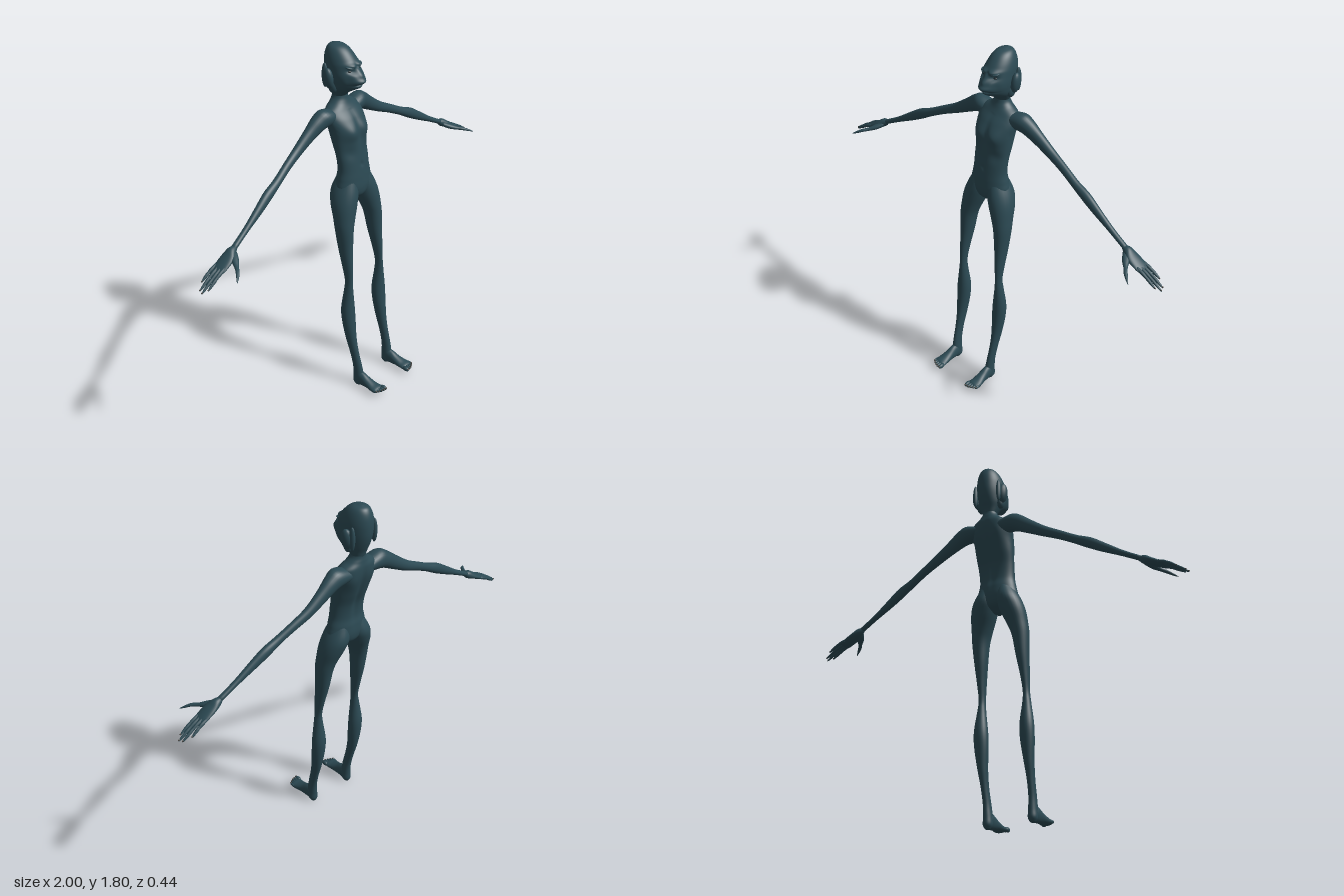
import * as THREE from 'three';

const skin = new THREE.MeshStandardMaterial({ color: 0x2c4a54 });
skin.name = 'blue grey skin';
const dark = new THREE.MeshStandardMaterial({ color: 0x182529 });
dark.name = 'dark eye';
const horn = new THREE.MeshStandardMaterial({ color: 0x4a4540 });
horn.name = 'horn nail';

const X = [1, 0, 0], Y = [0, 1, 0], Z = [0, 0, 1];

// Smooth loft through elliptical sections [x, y, z, radiusU, radiusV]
function loft(rows, u, v, { seg = 28, sub = 5, deform = null } = {}) {
  const U = new THREE.Vector3(...u).normalize(), V = new THREE.Vector3(...v).normalize();
  const curve = (f) => new THREE.CatmullRomCurve3(rows.map(f), false, 'catmullrom', 0.5);
  const mid = curve((r) => new THREE.Vector3(r[0], r[1], r[2]));
  const rad = curve((r) => new THREE.Vector3(r[3], r[4], 0));
  const n = (rows.length - 1) * sub, pos = [], idx = [];
  const add = (p) => { if (deform) deform(p); pos.push(p.x, p.y, p.z); };
  for (let i = 0; i <= n; i++) {
    const c = mid.getPoint(i / n), r = rad.getPoint(i / n);
    for (let j = 0; j < seg; j++) {
      const t = (j / seg) * Math.PI * 2;
      add(c.clone().addScaledVector(U, Math.cos(t) * r.x).addScaledVector(V, Math.sin(t) * r.y));
    }
  }
  add(mid.getPoint(0));
  add(mid.getPoint(1));
  // Keep faces outward whichever way the sections run
  const along = mid.getPoint(1).sub(mid.getPoint(0));
  const flip = U.clone().cross(V).dot(along) < 0;
  const tri = (a, b, c) => (flip ? idx.push(a, c, b) : idx.push(a, b, c));
  for (let j = 0; j < seg; j++) {
    const k = (j + 1) % seg, end = n * seg;
    for (let i = 0; i < n; i++) {
      const a = i * seg + j, b = i * seg + k;
      tri(a, b, b + seg);
      tri(a, b + seg, a + seg);
    }
    tri(end + seg, k, j);
    tri(end + seg + 1, end + j, end + k);
  }
  const g = new THREE.BufferGeometry();
  g.setAttribute('position', new THREE.Float32BufferAttribute(pos, 3));
  g.setIndex(idx);
  g.computeVertexNormals();
  return g;
}

// Soft bumps [x, y, width, height, push in z], mirrored across x
const bumps = (list, accept) => (p) => {
  if (!accept(p.z)) return;
  const ax = Math.abs(p.x);
  let dz = 0;
  for (const [x, y, w, h, d] of list) dz += d * Math.exp(-(((ax - x) / w) ** 2) - ((p.y - y) / h) ** 2);
  p.z += dz;
};

export function createModel() {
  const model = new THREE.Group();
  const part = (name, geo, mat = skin, parent = model) => {
    const m = new THREE.Mesh(geo, mat);
    m.name = name;
    parent.add(m);
    return m;
  };
  const blob = (name, p, s, mat, parent) => {
    const m = part(name, new THREE.SphereGeometry(1, 20, 14), mat, parent);
    m.position.set(...p);
    m.scale.set(...s);
    return m;
  };

  // Torso with chest, belly and spine relief
  const chest = bumps([[0.05, 1.39, 0.035, 0.04, 0.012], [0, 1.4, 0.014, 0.07, -0.006],
    [0, 1.22, 0.008, 0.012, -0.006], [0.06, 1.29, 0.03, 0.03, -0.006]], (z) => z > -0.08);
  const back = bumps([[0, 1.32, 0.016, 0.14, 0.01], [0.06, 1.42, 0.03, 0.05, -0.008]], (z) => z < -0.12);
  part('torso', loft([
    [0, 1.03, -0.06, 0.012, 0.02], [0, 1.06, -0.065, 0.07, 0.055], [0, 1.1, -0.067, 0.108, 0.066],
    [0, 1.15, -0.068, 0.102, 0.064], [0, 1.2, -0.068, 0.093, 0.058], [0, 1.27, -0.077, 0.095, 0.058],
    [0, 1.34, -0.092, 0.1, 0.068], [0, 1.4, -0.103, 0.103, 0.075], [0, 1.45, -0.12, 0.108, 0.069],
    [0, 1.49, -0.137, 0.098, 0.054], [0, 1.52, -0.143, 0.056, 0.043], [0, 1.55, -0.145, 0.036, 0.036],
    [0, 1.61, -0.15, 0.034, 0.035],
  ], X, Z, { seg: 64, sub: 8, deform: (p) => { chest(p); back(p); } }));

  // Head: rows of height, half width, front z, back z
  const face = bumps([[0.032, 1.693, 0.017, 0.011, -0.014], [0.026, 1.718, 0.024, 0.009, 0.01],
    [0, 1.675, 0.013, 0.016, 0.008], [0, 1.712, 0.01, 0.01, -0.006], [0, 1.645, 0.035, 0.013, 0.014],
    [0, 1.627, 0.035, 0.004, -0.012], [0, 1.61, 0.03, 0.01, 0.009], [0.05, 1.65, 0.012, 0.03, -0.008],
  ], (z) => z > -0.12);
  const skull = [[1.545, 0.034, -0.115, -0.18], [1.57, 0.046, -0.09, -0.187], [1.6, 0.06, -0.045, -0.2],
    [1.63, 0.067, -0.015, -0.211], [1.66, 0.07, -0.012, -0.218], [1.69, 0.069, -0.028, -0.221],
    [1.72, 0.066, -0.047, -0.221], [1.75, 0.058, -0.07, -0.217], [1.775, 0.046, -0.095, -0.208],
    [1.79, 0.031, -0.12, -0.195], [1.798, 0.008, -0.152, -0.172]];
  const head = new THREE.Group();
  head.name = 'head';
  model.add(head);
  part('skull', loft(skull.map(([y, w, f, b]) => [0, y, (f + b) / 2, w, (f - b) / 2]), X, Z,
    { seg: 72, sub: 9, deform: face }), skin, head);

  for (const [s, side] of [[1, 'left'], [-1, 'right']]) {
    const group = (name) => {
      const g = new THREE.Group();
      g.name = side + name;
      model.add(g);
      return g;
    };
    const mir = (rows) => rows.map(([x, ...r]) => [x * s, ...r]);

    // Eye, brow and gill-like ear
    blob(side + 'Eye', [0.031 * s, 1.692, -0.063], [0.013, 0.006, 0.012], dark, head);
    const brow = blob(side + 'Brow', [0.03 * s, 1.708, -0.059], [0.024, 0.007, 0.016], skin, head);
    brow.rotation.set(0, 0.4 * s, 0.3 * s);
    const ear = blob(side + 'Ear', [0.073 * s, 1.648, -0.15], [0.022, 0.052, 0.028], skin, head);
    ear.rotation.set(0, 0.3 * s, -0.12 * s);
    blob(side + 'EarLobe', [0.055 * s, 1.607, -0.14], [0.019, 0.035, 0.025], skin, head);
    blob(side + 'EarFin', [0.066 * s, 1.655, -0.178], [0.012, 0.06, 0.016], skin, head);

    // Arm from shoulder to wrist
    const arm = group('Arm'), tilt = [0.47 * s, 0.88, 0];
    part(side + 'ArmLimb', loft(mir([
      [0.04, 1.462, -0.14, 0.035, 0.04], [0.11, 1.468, -0.14, 0.05, 0.045], [0.16, 1.453, -0.145, 0.042, 0.038],
      [0.22, 1.415, -0.15, 0.034, 0.028], [0.3, 1.365, -0.152, 0.026, 0.022], [0.38, 1.325, -0.145, 0.022, 0.019],
      [0.46, 1.283, -0.135, 0.021, 0.019], [0.53, 1.247, -0.13, 0.026, 0.021], [0.6, 1.205, -0.124, 0.022, 0.018],
      [0.69, 1.152, -0.118, 0.014, 0.014], [0.78, 1.102, -0.112, 0.012, 0.014],
    ]), tilt, Z), skin, arm);

    // Hand with four long fingers and a spread thumb
    part(side + 'Palm', loft(mir([
      [0.765, 1.108, -0.112, 0.008, 0.01], [0.79, 1.096, -0.111, 0.02, 0.022], [0.82, 1.079, -0.107, 0.017, 0.034],
      [0.855, 1.06, -0.107, 0.013, 0.036], [0.885, 1.043, -0.108, 0.009, 0.033], [0.893, 1.039, -0.108, 0.002, 0.01],
    ]), tilt, Z), skin, arm);
    [[-0.135, -0.142, 0.955], [-0.117, -0.12, 0.99], [-0.1, -0.101, 0.997], [-0.084, -0.083, 0.975]].forEach(([z0, z1, x1], i) => {
      const at = (t, lift, r) => [0.865 + (x1 - 0.865) * t, 1.055 - (x1 - 0.865) * 0.54 * t + lift,
        z0 + (z1 - z0) * t, r, r];
      part(side + 'Finger' + (i + 1), loft(mir([at(0, 0, 0.008), at(0.3, 0.004, 0.0085), at(0.5, 0.004, 0.007),
        at(0.65, 0.003, 0.0075), at(0.9, 0, 0.005), at(1, -0.002, 0.0015)]), tilt, Z, { seg: 12, sub: 3 }), skin, arm);
      blob(side + 'FingerNail' + (i + 1), [(x1 - 0.004) * s, at(0.97, 0.001, 0)[1], z1], [0.006, 0.004, 0.003], horn, arm);
    });
    part(side + 'Thumb', loft(mir([
      [0.79, 1.088, -0.1, 0.012, 0.014], [0.815, 1.075, -0.07, 0.013, 0.017], [0.838, 1.065, -0.04, 0.009, 0.01],
      [0.858, 1.06, -0.015, 0.008, 0.009], [0.88, 1.05, 0.005, 0.006, 0.006], [0.9, 1.04, 0.021, 0.0015, 0.0015],
    ]), Y, [-0.75 * s, 0, 0.66], { seg: 14, sub: 4 }), skin, arm);

    // Leg from hip to heel
    const leg = group('Leg');
    part(side + 'LegLimb', loft(mir([
      [0.045, 1.16, -0.07, 0.04, 0.05], [0.063, 1.09, -0.07, 0.06, 0.07], [0.081, 1.03, -0.06, 0.061, 0.068],
      [0.099, 0.96, -0.045, 0.05, 0.056], [0.11, 0.9, -0.036, 0.041, 0.049], [0.114, 0.8, -0.026, 0.031, 0.04],
      [0.118, 0.7, -0.011, 0.021, 0.03], [0.12, 0.62, -0.002, 0.016, 0.022], [0.122, 0.56, -0.003, 0.021, 0.025],
      [0.123, 0.46, -0.007, 0.034, 0.034], [0.123, 0.38, -0.002, 0.034, 0.034], [0.123, 0.28, 0.012, 0.024, 0.03],
      [0.122, 0.2, 0.031, 0.018, 0.026], [0.12, 0.12, 0.05, 0.018, 0.026], [0.118, 0.06, 0.056, 0.021, 0.029],
      [0.118, 0.022, 0.053, 0.022, 0.026], [0.118, 0.002, 0.053, 0.012, 0.016],
    ]), X, Z), skin, leg);

    // Foot with five toes
    part(side + 'Foot', loft(mir([
      [0.118, 0.03, 0.035, 0.01, 0.015], [0.118, 0.045, 0.06, 0.021, 0.04], [0.119, 0.044, 0.09, 0.023, 0.038],
      [0.12, 0.037, 0.125, 0.026, 0.027], [0.122, 0.031, 0.16, 0.031, 0.019], [0.122, 0.03, 0.185, 0.033, 0.014],
      [0.122, 0.03, 0.196, 0.02, 0.006],
    ]), X, Y), skin, leg);
    [[0.096, 0.22, 0.011], [0.111, 0.219, 0.008], [0.124, 0.215, 0.0075], [0.137, 0.208, 0.007], [0.149, 0.2, 0.007]].forEach(([x, z, r], i) => {
      blob(side + 'Toe' + (i + 1), [x * s, 0.032, z - 0.02], [r, r * 1.15, 0.02], skin, leg);
      blob(side + 'ToeNail' + (i + 1), [x * s, 0.036, z - 0.004], [r * 0.55, 0.004, 0.005], horn, leg);
    });
  }
  return model;
}
